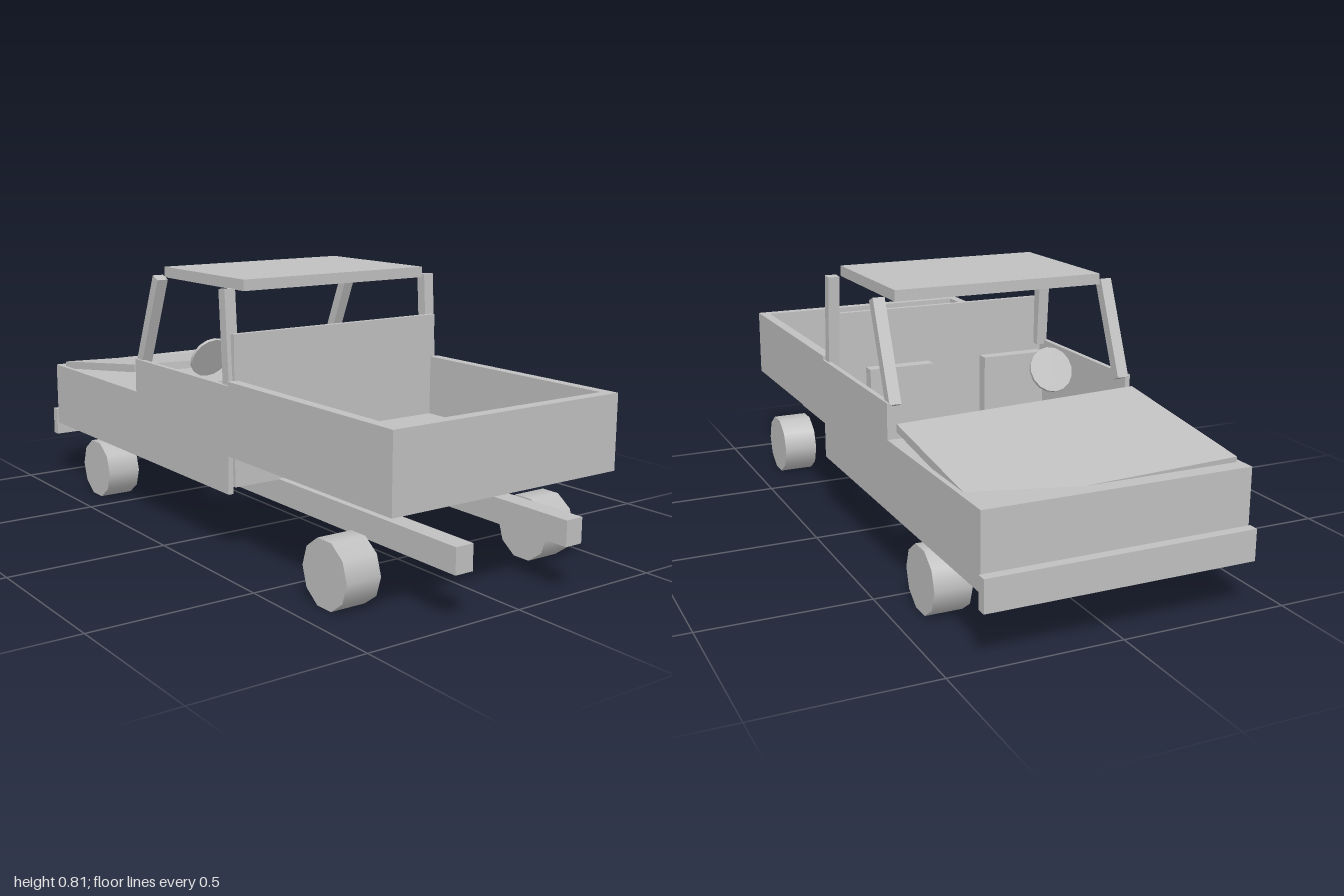
import * as THREE from 'three';

export function createModel() {
  const model = new THREE.Group();
  model.name = 'pickupTruck';
  const grey = new THREE.MeshStandardMaterial({ color: 0xc0c0c0 });
  grey.name = 'grey';

  function add(name, geometry, x, y, z) {
    const mesh = new THREE.Mesh(geometry, grey);
    mesh.name = name;
    mesh.position.set(x, y, z);
    model.add(mesh);
    return mesh;
  }

  // Box given by its limits on each axis
  function box(name, [x0, x1], [y0, y1], [z0, z1]) {
    return add(name, new THREE.BoxGeometry(x1 - x0, y1 - y0, z1 - z0),
      (x0 + x1) / 2, (y0 + y1) / 2, (z0 + z1) / 2);
  }

  // Pillar leaning in z between two heights
  function pillar(name, x, y0, z0, y1, z1) {
    const length = Math.hypot(y1 - y0, z1 - z0);
    const mesh = add(name, new THREE.BoxGeometry(0.036, length, 0.033), x, (y0 + y1) / 2, (z0 + z1) / 2);
    mesh.rotation.x = Math.atan2(z1 - z0, y1 - y0);
  }

  // Engine bay and bumper
  box('engineBay', [-0.395, 0.395], [0.19, 0.405], [-0.97, -0.355]);
  box('bumper', [-0.4, 0.4], [0.148, 0.24], [-1, -0.97]);

  // Loosely fitted, tilted hood
  const hood = add('hood', new THREE.BoxGeometry(0.76, 0.025, 0.535), 0, 0.428, -0.655);
  hood.rotation.set(-0.122, 0, -0.035);

  // Cab
  box('cabBackWall', [-0.375, 0.375], [0.21, 0.66], [0.195, 0.212]);
  box('roof', [-0.332, 0.332], [0.779, 0.812], [-0.265, 0.197]);

  // Load bed
  box('bedFloor', [-0.395, 0.395], [0.305, 0.34], [0.21, 0.955]);
  box('tailgate', [-0.395, 0.395], [0.305, 0.525], [0.92, 0.955]);

  // Mirrored parts
  for (const s of [-1, 1]) {
    const span = (a, b) => (s > 0 ? [a, b] : [-b, -a]);
    box('cabSide', span(0.379, 0.395), [0.19, 0.512], [-0.355, 0.207]);
    box('bedSide', span(0.362, 0.395), [0.305, 0.525], [0.207, 0.955]);
    box('chassisRail', span(0.167, 0.225), [0.139, 0.213], [-0.925, 1]);
    box('seat', span(0.09, 0.3), [0.21, 0.51], [0.03, 0.07]);
    pillar('rearPillar', s * 0.37, 0.5, 0.187, 0.786, 0.168);
    pillar('windscreenPillar', s * 0.37, 0.5, -0.342, 0.784, -0.223);

    for (const z of [0.703, -0.628]) {
      const wheel = add('wheel', new THREE.CylinderGeometry(0.098, 0.098, 0.111, 10), s * 0.357, 0.0935, z);
      wheel.rotation.z = Math.PI / 2;
    }
  }

  // Steering wheel
  const steering = add('steeringWheel', new THREE.CylinderGeometry(0.07, 0.07, 0.01, 16), -0.195, 0.517, -0.22);
  steering.rotation.x = Math.PI / 2 + 0.46;

  // Loose plate lying askew in the bed
  const plate = add('loosePlate', new THREE.BoxGeometry(0.26, 0.035, 0.17), 0.125, 0.341, 0.61);
  plate.rotation.set(0.1, 0.5, 0.1, 'YXZ');

  return model;
}
